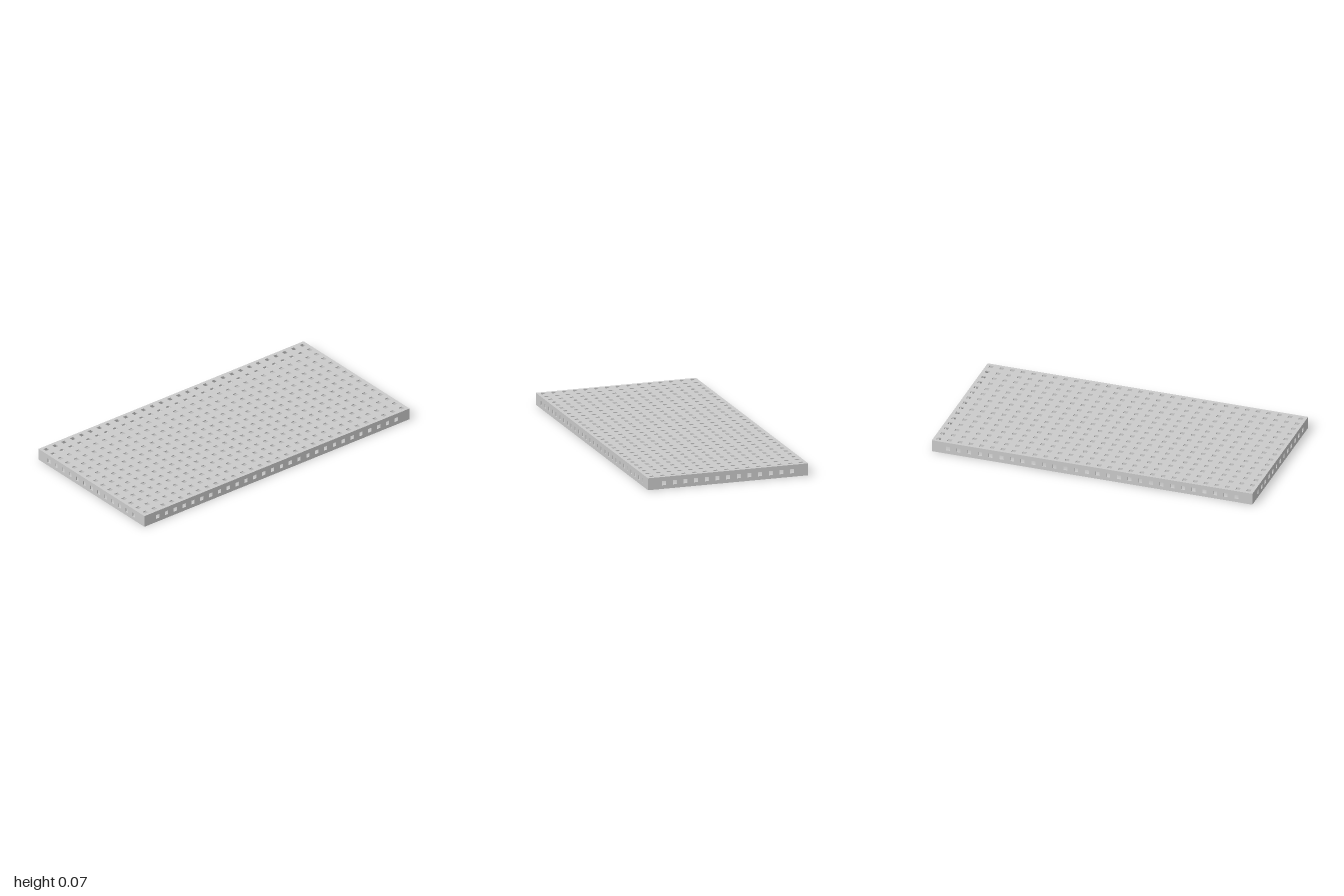
import * as THREE from 'three';

const W = 1, L = 2, H = 0.073, T = 0.006; // width, length, height, sheet thickness
const PITCH = 1 / 15, HOLE = 0.025;       // hole spacing and hole side
const HOLE_Y = 0.0345;                    // height of the flange holes

const material = new THREE.MeshStandardMaterial({ color: 0xcccccc, flatShading: true });

function rectangle(path, cx, cy, w, h) {
  path.moveTo(cx - w / 2, cy - h / 2);
  path.lineTo(cx + w / 2, cy - h / 2);
  path.lineTo(cx + w / 2, cy + h / 2);
  path.lineTo(cx - w / 2, cy + h / 2);
  path.closePath();
  return path;
}

// Sheet in the xy plane, extruded from z = 0 to T, with a grid of square holes
function perforatedSheet(name, w, h, columns, rows, cy, holeY) {
  const shape = rectangle(new THREE.Shape(), 0, cy, w, h);
  for (let i = 0; i < columns; i++) {
    for (let j = 0; j < rows; j++) {
      const x = (i - (columns - 1) / 2) * PITCH;
      const y = holeY + (j - (rows - 1) / 2) * PITCH;
      shape.holes.push(rectangle(new THREE.Path(), x, y, HOLE, HOLE));
    }
  }
  const geometry = new THREE.ExtrudeGeometry(shape, { depth: T, bevelEnabled: false });
  const mesh = new THREE.Mesh(geometry, material);
  mesh.name = name;
  return mesh;
}

export function createModel() {
  const group = new THREE.Group();
  group.name = 'perforatedTray';

  // Top plate
  const plate = perforatedSheet('topPlate', W, L, 15, 30, 0, 0);
  plate.rotation.x = -Math.PI / 2;
  plate.position.y = H - T;
  group.add(plate);

  // Folded-down flanges at the short ends and the long sides
  const flangeH = H - T;
  for (const s of [1, -1]) {
    const end = perforatedSheet(s > 0 ? 'frontFlange' : 'backFlange', W, flangeH, 13, 1, flangeH / 2, HOLE_Y);
    end.rotation.y = s > 0 ? 0 : Math.PI;
    end.position.z = s * (L / 2 - T);
    group.add(end);

    const side = perforatedSheet(s > 0 ? 'leftFlange' : 'rightFlange', L - 2 * T, flangeH, 28, 1, flangeH / 2, HOLE_Y);
    side.rotation.y = s * Math.PI / 2;
    side.position.x = s * (W / 2 - T);
    group.add(side);
  }
  return group;
}
